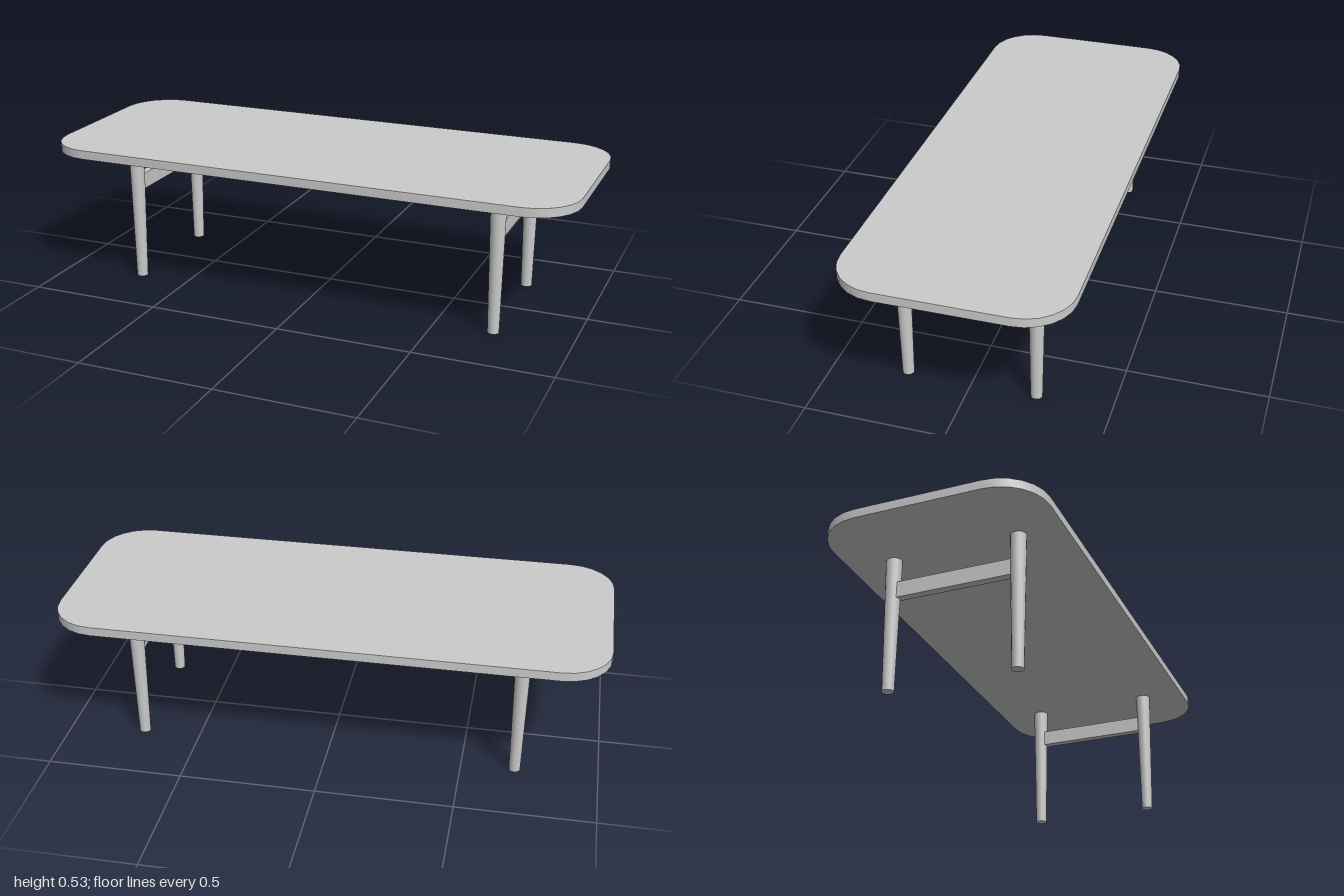
import * as THREE from 'three';
import { toCreasedNormals } from 'three/addons/utils/BufferGeometryUtils.js';

const material = new THREE.MeshStandardMaterial({ color: 0xcccccc });

function addMesh(parent, name, geometry, x, y, z) {
  const mesh = new THREE.Mesh(geometry, material);
  mesh.name = name;
  mesh.position.set(x, y, z);
  parent.add(mesh);
}

// Rounded rectangle slab, lying flat with its underside at y = 0
function slabGeometry(halfX, halfZ, radius, thickness) {
  const shape = new THREE.Shape();
  const cx = halfX - radius, cz = halfZ - radius;
  shape.absarc(cx, cz, radius, 0, Math.PI / 2);
  shape.absarc(-cx, cz, radius, Math.PI / 2, Math.PI);
  shape.absarc(-cx, -cz, radius, Math.PI, Math.PI * 1.5);
  shape.absarc(cx, -cz, radius, Math.PI * 1.5, Math.PI * 2);
  shape.closePath();
  const geometry = new THREE.ExtrudeGeometry(shape, {
    depth: thickness, bevelEnabled: false, curveSegments: 3,
  });
  geometry.rotateX(-Math.PI / 2);
  return toCreasedNormals(geometry, 0.7);
}

export function createModel() {
  const model = new THREE.Group();
  model.name = 'lowTable';

  const legHeight = 0.501, legZ = 0.234;
  addMesh(model, 'tableTop', slabGeometry(1, 0.4, 0.17, 0.033), 0, 0.501, 0);

  // Two end frames: a pair of tapered legs joined by a stretcher
  const legGeometry = new THREE.CylinderGeometry(0.029, 0.021, legHeight, 16);
  const stretcherGeometry = new THREE.BoxGeometry(0.03, 0.06, 2 * legZ - 0.04);
  for (const [side, x] of [['left', 0.716], ['right', -0.697]]) {
    const frame = new THREE.Group();
    frame.name = side + 'LegFrame';
    frame.position.x = x;
    addMesh(frame, side + 'FrontLeg', legGeometry, 0, legHeight / 2, legZ);
    addMesh(frame, side + 'BackLeg', legGeometry, 0, legHeight / 2, -legZ);
    addMesh(frame, side + 'Stretcher', stretcherGeometry, 0, 0.378, 0);
    model.add(frame);
  }
  return model;
}
